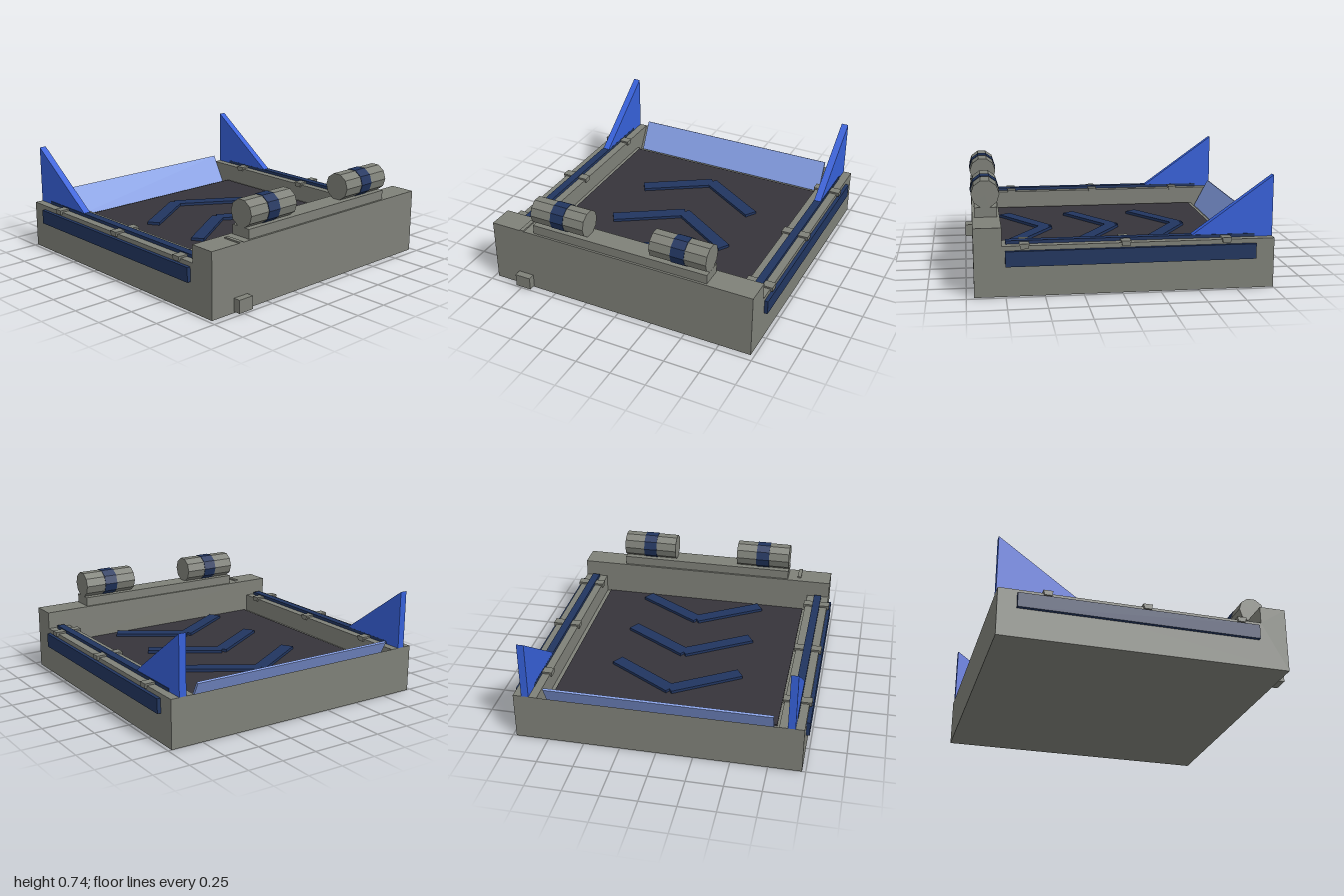
import * as THREE from 'three';

const mat = (name, color) => {
  const m = new THREE.MeshStandardMaterial({ color });
  m.name = name;
  return m;
};

export function createModel() {
  const group = new THREE.Group();
  const grey = mat('grey casing', 0x7e8078);
  const dark = mat('dark floor', 0x36343a);
  const navy = mat('navy trim', 0x21355f);
  const blue = mat('bright blue', 0x3660d8);
  const pale = mat('pale blue', 0x86a0e6);

  const add = (name, geometry, material) => {
    const mesh = new THREE.Mesh(geometry, material);
    mesh.name = name;
    group.add(mesh);
    return mesh;
  };
  // Box from its minimum and maximum corners
  const box = (name, material, x0, x1, y0, y1, z0, z1) => {
    const g = new THREE.BoxGeometry(x1 - x0, y1 - y0, z1 - z0);
    g.translate((x0 + x1) / 2, (y0 + y1) / 2, (z0 + z1) / 2);
    return add(name, g, material);
  };
  // Side profile of [z, y] points, extruded along x
  const prism = (name, material, x0, x1, points) => {
    const shape = new THREE.Shape(points.map(([z, y]) => new THREE.Vector2(-z, y)));
    const g = new THREE.ExtrudeGeometry(shape, { depth: x1 - x0, bevelEnabled: false });
    g.rotateY(Math.PI / 2);
    g.translate(x0, 0, 0);
    return add(name, g, material);
  };
  // Span on the +x side or mirrored to the -x side
  const span = (s, a, b) => (s > 0 ? [a, b] : [-b, -a]);

  // Casing: tray with a sloped trench at the back and a tall front wall
  prism('tray', grey, -0.81, 0.81, [
    [0.95, 0], [0.95, 0.45], [0.77, 0.45], [0.77, 0.2],
    [-0.84, 0.2], [-0.84, 0.05], [-1, 0.33], [-1, 0],
  ]);
  box('floorPlate', dark, -0.78, 0.78, 0.2, 0.21, -0.81, 0.76);
  box('frontLedge', grey, -0.65, 0.65, 0.45, 0.515, 0.785, 0.935);

  // Leaning panel in the trench
  prism('backPanel', pale, -0.77, 0.77, [
    [-0.872, 0.18], [-0.98, 0.385], [-0.966, 0.392], [-0.858, 0.187],
  ]);

  for (const s of [1, -1]) {
    prism('sideWall', grey, ...span(s, 0.81, 0.975), [
      [0.95, 0], [0.95, 0.45], [0.77, 0.45], [0.77, 0.33], [-1, 0.33], [-1, 0],
    ]);
    box('sideStrip', navy, ...span(s, 0.975, 1), 0.2, 0.3, -0.875, 0.75);
    box('topRail', navy, ...span(s, 0.865, 0.92), 0.33, 0.352, -0.88, 0.745);
    prism('fin', blue, ...span(s, 0.866, 0.916), [
      [-0.435, 0.33], [-1, 0.735], [-1, 0.33],
    ]);
    // Brackets holding the rail
    for (const z of [0.628, -0.022, -0.68]) {
      prism('bracket', grey, ...span(s, 0.798, 0.992), [
        [z + 0.032, 0.345], [z - 0.032, 0.345], [z - 0.025, 0.312], [z + 0.025, 0.312],
      ]);
    }
    // Ten-sided canister with a band
    for (const [name, m, r, len] of [['canister', grey, 0.094, 0.405], ['canisterBand', navy, 0.098, 0.098]]) {
      const g = new THREE.CylinderGeometry(r, r, len, 10).toNonIndexed();
      g.rotateZ(Math.PI / 2);
      g.computeVertexNormals();
      add(name, g, m).position.set(s * 0.447, 0.603, 0.862);
    }
  }

  // Chevrons on the floor, pointing back
  for (const z of [-0.418, 0.069, 0.556]) {
    for (const s of [1, -1]) {
      const arm = add('chevronArm', new THREE.BoxGeometry(0.535, 0.02, 0.092), navy);
      arm.position.set(s * 0.221, 0.22, z);
      arm.rotation.y = -s * 0.562;
    }
  }

  // Small fittings at the front
  box('frontPlug', grey, -0.79, -0.675, 0.01, 0.1, 0.95, 1);
  box('wallClip', grey, -0.75, -0.722, 0.45, 0.46, 0.82, 0.955);

  return group;
}
